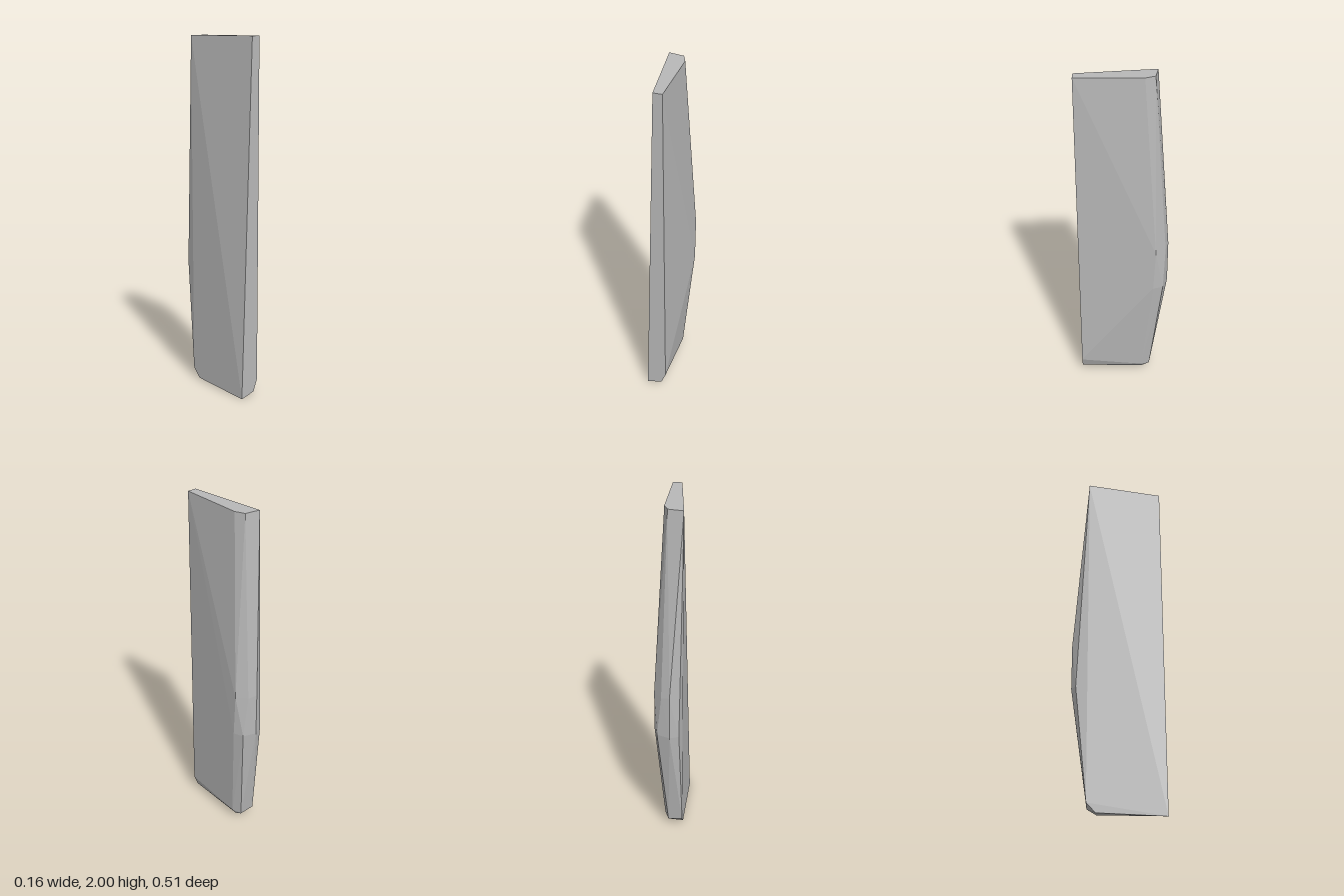
import * as THREE from 'three';
import { ConvexGeometry } from 'three/addons/geometries/ConvexGeometry.js';

export function createModel() {
  const group = new THREE.Group();
  group.name = 'slab';
  const stone = new THREE.MeshStandardMaterial({ color: 0xb8b8b8 });
  stone.name = 'greyStone';

  // Corner rings of the faceted shard, each corner as [x, y, z]
  const topRim = [
    [-0.02, 2, 0.255], [0.03, 2, 0.255], [0.027, 2, -0.109],
    [0.004, 2, -0.162], [-0.08, 2, -0.176],
  ];
  const upperBulge = [
    [0.078, 0.95, -0.184], [0.032, 0.95, -0.239], [-0.016, 0.96, -0.255],
  ];
  const lowerBulge = [
    [0.079, 0.7, -0.173], [0.058, 0.7, -0.229],
    [-0.016, 0.7, -0.255], [-0.066, 0.7, -0.234],
  ];
  const lowerRim = [
    [0.034, 0.09, 0.255], [0.029, 0.055, -0.109],
    [0.004, 0.045, -0.16], [-0.08, 0.06, -0.17],
  ];
  const foot = [
    [-0.08, 0, 0.255], [0.008, 0.022, 0.255],
    [0.003, 0.016, -0.11], [-0.08, 0.008, -0.12],
  ];

  // The shard is convex, so its surface is the hull of the rings
  const corners = [topRim, upperBulge, lowerBulge, lowerRim, foot]
    .flat().map((p) => new THREE.Vector3(...p));
  const shard = new THREE.Mesh(new ConvexGeometry(corners), stone);
  shard.name = 'shard';
  group.add(shard);
  return group;
}
